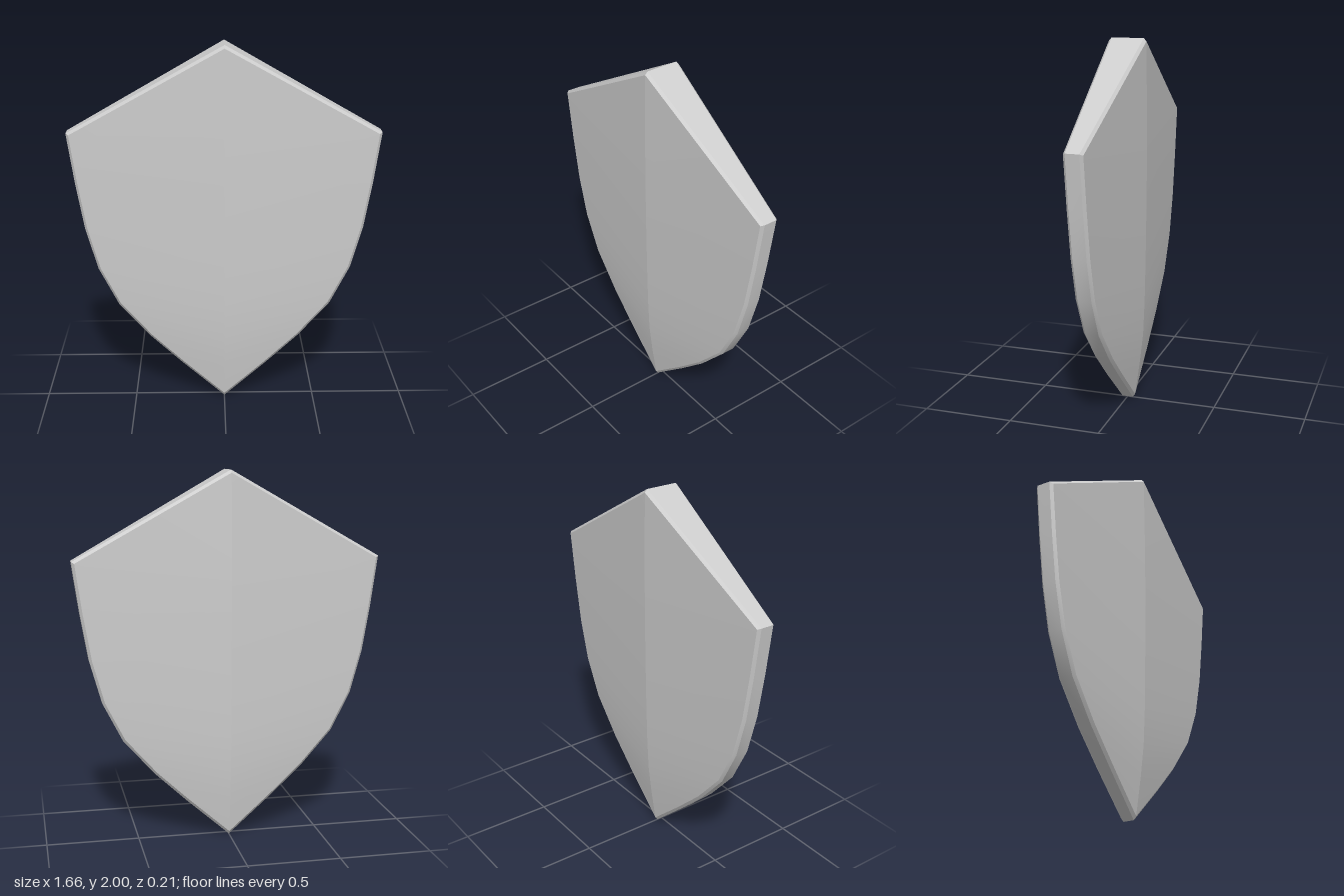
import * as THREE from 'three';
import { mergeGeometries } from 'three/addons/utils/BufferGeometryUtils.js';

// Right-hand outline from bottom tip to shoulder to peak: x, y, edge half depth, ridge half depth
const OUTLINE = [
  [0, 0, 0.044, 0.044], [0.235, 0.21, 0.047, 0.072], [0.41, 0.375, 0.048, 0.09],
  [0.58, 0.57, 0.049, 0.098], [0.685, 0.78, 0.05, 0.102], [0.748, 1.01, 0.05, 0.105],
  [0.79, 1.26, 0.05, 0.107], [0.828, 1.535, 0.05, 0.107], [0, 2, 0.102, 0.102],
];
const SHOULDER = 7;
const BEVEL = 0.014;

// Outline point moved inward by the bevel width, with mitred corners
function inset(i) {
  const at = (k) => {
    const j = k < 0 ? 1 : k > 8 ? 7 : k;
    return new THREE.Vector2(OUTLINE[j][0] * (j === k ? 1 : -1), OUTLINE[j][1]);
  };
  const p = at(i);
  const inward = (from, to) => {
    const d = to.clone().sub(from).normalize();
    return new THREE.Vector2(-d.y, d.x);
  };
  const n1 = inward(at(i - 1), p), n2 = inward(p, at(i + 1));
  return p.addScaledVector(n1.clone().add(n2), BEVEL / (1 + n1.dot(n2)));
}

// Smooth strip between two rows of points, skipping collapsed triangles
function strip(a, b, flip) {
  const n = a.length, index = [];
  const pts = [...a, ...b];
  const tri = (i, j, k) => {
    const [p, q, r] = [pts[i], pts[j], pts[k]];
    if (p.distanceTo(q) < 1e-5 || q.distanceTo(r) < 1e-5 || r.distanceTo(p) < 1e-5) return;
    index.push(...(flip > 0 ? [i, j, k] : [i, k, j]));
  };
  for (let i = 0; i < n - 1; i++) {
    tri(i, n + i, n + i + 1);
    tri(i, n + i + 1, i + 1);
  }
  const g = new THREE.BufferGeometry().setFromPoints(pts);
  g.setIndex(index);
  g.computeVertexNormals();
  return g.toNonIndexed();
}

export function createModel() {
  const group = new THREE.Group();
  const material = new THREE.MeshStandardMaterial({ color: 0xcccccc });
  const front = [], back = [], bevel = [], rim = [];

  for (const sx of [1, -1]) {
    const outer = (sz) => OUTLINE.map(([x, y, z]) => new THREE.Vector3(sx * x, y, sz * (z - BEVEL)));
    const inner = (sz) => OUTLINE.map(([, , z], i) => {
      const q = inset(i);
      return new THREE.Vector3(sx * q.x, q.y, sz * z);
    });
    // Side and top runs stay separate so the shoulder is sharp
    const runs = [[0, SHOULDER + 1], [SHOULDER, 9]];

    for (const sz of [1, -1]) {
      // Half of a face, sloping from the central ridge to the edge
      const edge = inner(sz);
      const ridge = edge.map((q, i) => new THREE.Vector3(0, q.y, sz * OUTLINE[i][3]));
      (sz > 0 ? front : back).push(strip(ridge, edge, sx * sz));
      for (const [s, e] of runs) bevel.push(strip(edge.slice(s, e), outer(sz).slice(s, e), sx * sz));
    }
    for (const [s, e] of runs) rim.push(strip(outer(1).slice(s, e), outer(-1).slice(s, e), sx));
  }

  const parts = { frontFace: front, backFace: back, bevelledEdges: bevel, outerRim: rim };
  for (const [name, pieces] of Object.entries(parts)) {
    const mesh = new THREE.Mesh(mergeGeometries(pieces), material);
    mesh.name = name;
    group.add(mesh);
  }
  group.name = 'shield';
  return group;
}
